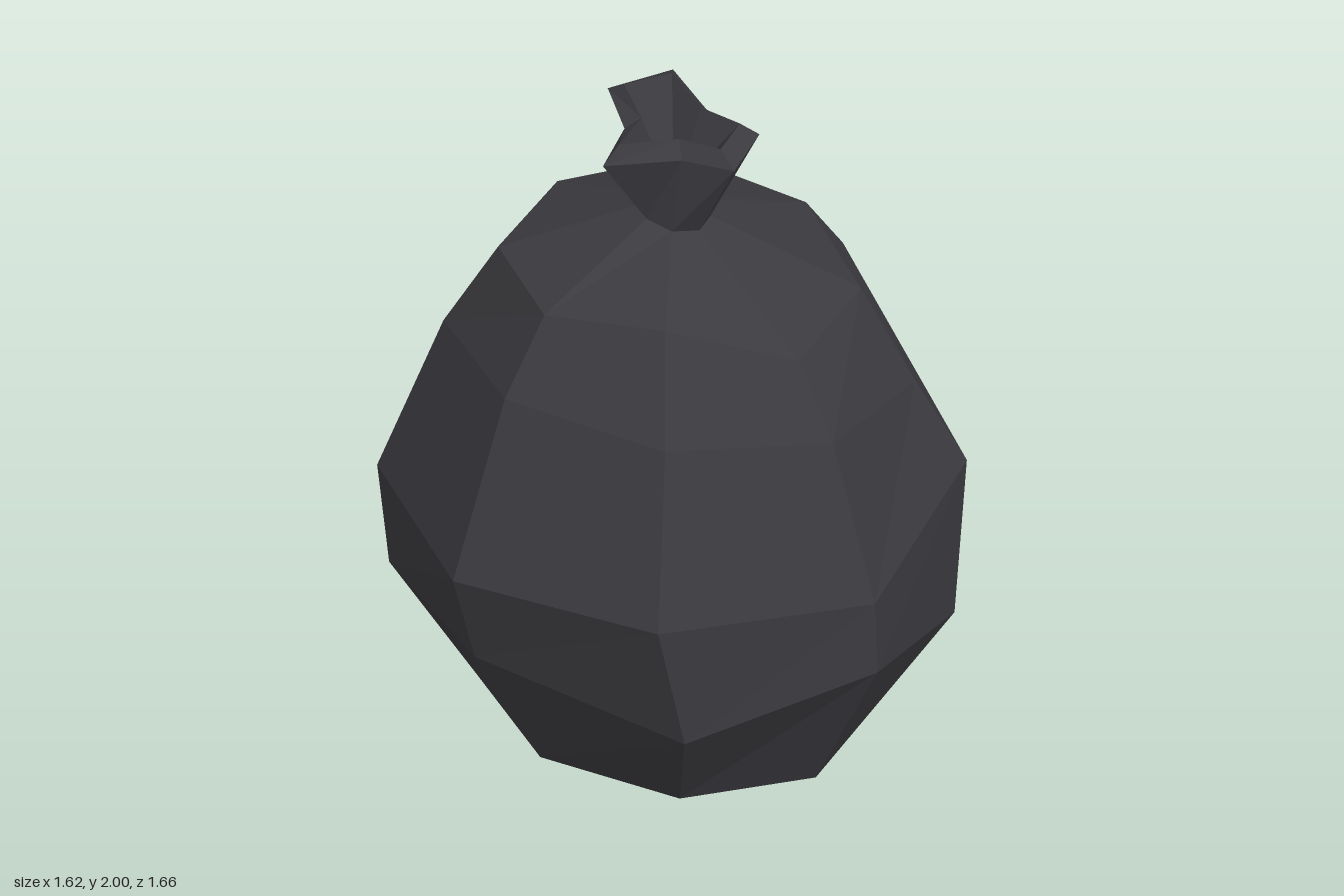
import * as THREE from 'three';

const SIDES = 8;

// Joins rings of eight points (listed from the bottom up) into one flat-shaded skin.
// A ring holding a single point closes the skin with a fan.
function skin(name, rings, material) {
  const positions = [];
  const at = (ring, k) => ring[k % ring.length];
  for (let i = 0; i < rings.length - 1; i++) {
    const low = rings[i], high = rings[i + 1];
    for (let k = 0; k < SIDES; k++) {
      const a = at(low, k), b = at(low, k + 1), c = at(high, k), d = at(high, k + 1);
      if (low.length > 1) positions.push(...a, ...c, ...b);
      if (high.length > 1) positions.push(...b, ...c, ...d);
    }
  }
  const geometry = new THREE.BufferGeometry();
  geometry.setAttribute('position', new THREE.Float32BufferAttribute(positions, 3));
  geometry.computeVertexNormals();
  const mesh = new THREE.Mesh(geometry, material);
  mesh.name = name;
  return mesh;
}

// Ring of points from [radius, height] pairs, starting at +x and turning towards +z.
function ringOf(pairs, stretchZ = 1) {
  return pairs.map(([r, y], k) => {
    const angle = (k / SIDES) * Math.PI * 2;
    return [r * Math.cos(angle), y, r * Math.sin(angle) * stretchZ];
  });
}

export function createModel() {
  const group = new THREE.Group();
  group.name = 'tiedBag';
  const plastic = new THREE.MeshStandardMaterial({ color: 0x3b3a3f, flatShading: true, side: THREE.DoubleSide });
  plastic.name = 'dark plastic';

  // Sagging sack: uneven rings from the base to the shoulder
  const base = ringOf(Array(SIDES).fill([0.49, 0.1]), 1.18);
  const belly = ringOf([[0.69, 0.43], [0.7, 0.43], [0.69, 0.56], [0.7, 0.43],
    [0.73, 0.53], [0.71, 0.45], [0.69, 0.43], [0.7, 0.53]], 1.2);
  const waist = ringOf([[0.81, 0.81], [0.8, 0.88], [0.82, 0.78], [0.81, 0.81],
    [0.81, 0.81], [0.81, 0.81], [0.81, 0.81], [0.81, 0.81]]);
  const chest = ringOf([[0.62, 1.29], [0.65, 1.14], [0.63, 1.22], [0.61, 1.28],
    [0.62, 1.32], [0.62, 1.28], [0.6, 1.32], [0.63, 1.28]], 1.03);
  const shoulder = ringOf([[0.485, 1.48], [0.51, 1.43], [0.51, 1.42], [0.43, 1.55],
    [0.475, 1.53], [0.48, 1.53], [0.475, 1.53], [0.48, 1.53]]);
  const neck = ringOf([[0.09, 1.66], [0.1, 1.65], [0.105, 1.65], [0.1, 1.66],
    [0.1, 1.68], [0.095, 1.68], [0.085, 1.68], [0.09, 1.67]]);
  group.add(skin('sack', [[[0, 0, 0]], base, belly, waist, chest, shoulder, neck], plastic));

  // Gathered collar: flared star-shaped rim, bevelled lip and funnel inside
  const flare = [[0.14, 1.91, 0], [0.17, 1.915, 0.16], [0.01, 1.9, 0.235], [-0.06, 1.9, 0.1],
    [-0.26, 1.92, 0], [-0.1, 1.93, -0.09], [-0.04, 1.97, -0.225], [0.15, 1.975, -0.17]];
  const lip = [[0.1, 1.955, 0], [0.125, 1.955, 0.13], [0.01, 1.945, 0.18], [-0.04, 1.945, 0.065],
    [-0.2, 1.965, 0], [-0.06, 1.96, -0.065], [-0.025, 2, -0.175], [0.11, 2, -0.13]];
  group.add(skin('collar', [neck, flare, lip, [[0, 1.72, 0]]], plastic));

  return group;
}
